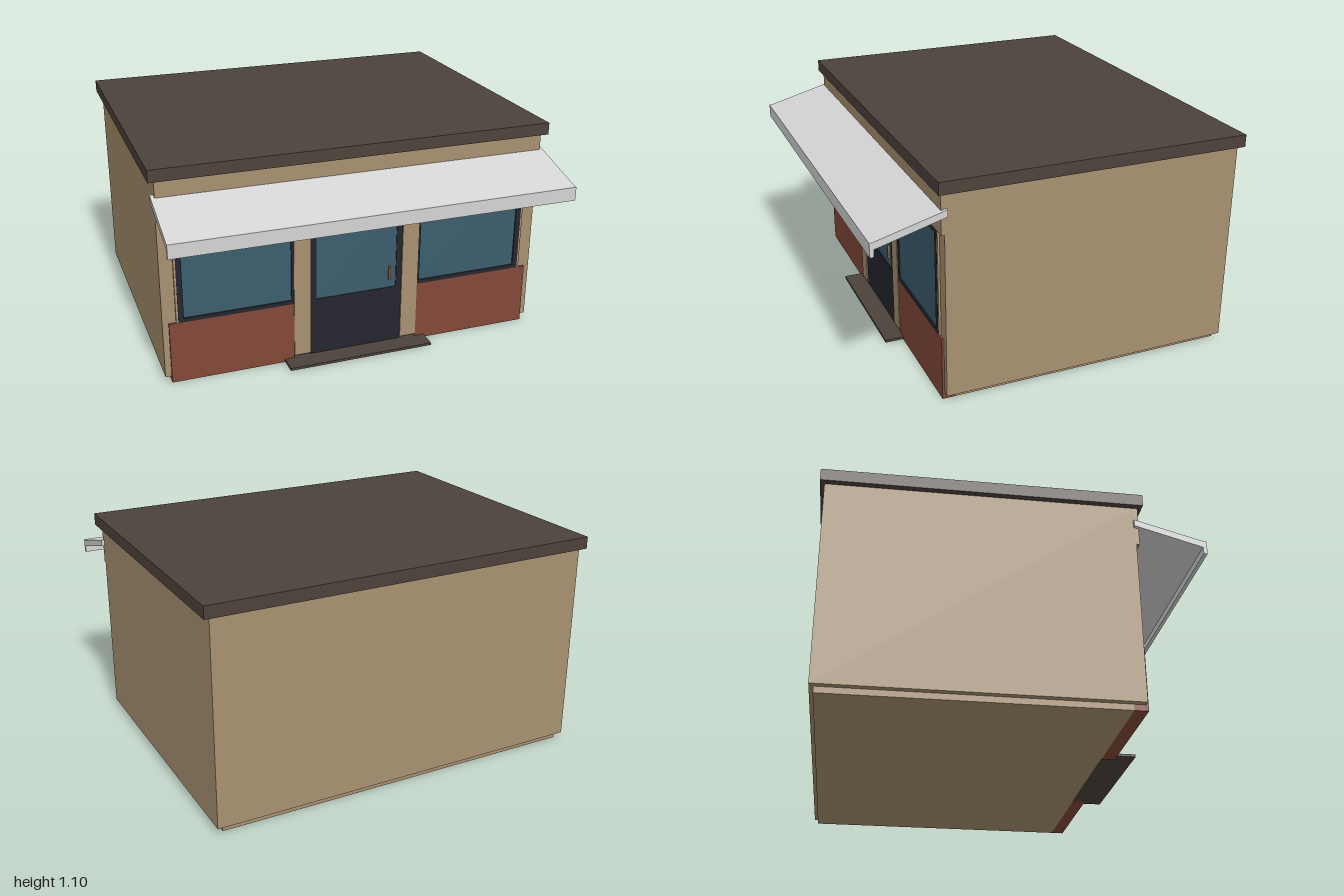
import * as THREE from 'three';

const mat = (name, color) => {
  const m = new THREE.MeshStandardMaterial({ color });
  m.name = name;
  return m;
};

export function createModel() {
  const plaster = mat('tan plaster', 0xa89070);
  const dark = mat('dark brown roofing', 0x4d423b);
  const brick = mat('red brick', 0x824838);
  const glass = mat('blue glass', 0x3b5d6d);
  const frame = mat('dark frame', 0x252530);
  const canvas = mat('pale awning', 0xd4d4d4);
  const bronze = mat('bronze', 0x94683f);

  const shop = new THREE.Group();
  shop.name = 'shop';

  // Box given by its lower and upper limits on each axis
  const box = (name, material, x0, x1, y0, y1, z0, z1) => {
    const mesh = new THREE.Mesh(new THREE.BoxGeometry(x1 - x0, y1 - y0, z1 - z0), material);
    mesh.position.set((x0 + x1) / 2, (y0 + y1) / 2, (z0 + z1) / 2);
    mesh.name = name;
    shop.add(mesh);
    return mesh;
  };

  // Rectangular frame with one opening, extruded along z
  const openFrame = (name, x0, x1, y0, y1, hole, z0, z1) => {
    const rect = (target, a, b, c, d) =>
      target.moveTo(a, c).lineTo(b, c).lineTo(b, d).lineTo(a, d).closePath();
    const shape = rect(new THREE.Shape(), x0, x1, y0, y1);
    shape.holes.push(rect(new THREE.Path(), ...hole));
    const geo = new THREE.ExtrudeGeometry(shape, { depth: z1 - z0, bevelEnabled: false });
    const mesh = new THREE.Mesh(geo, frame);
    mesh.position.z = z0;
    mesh.name = name;
    shop.add(mesh);
  };

  // Building shell
  box('plinth', plaster, -0.94, 0.94, 0, 0.03, -0.87, 0.52);
  box('walls', plaster, -0.97, 0.97, 0.03, 1.04, -0.89, 0.575);
  box('fascia', plaster, -0.97, 0.97, 0.84, 1.04, 0.575, 0.59);
  box('roof', dark, -1, 1, 1.04, 1.1, -0.91, 0.61);

  // Shop windows, brick bases and pilasters on both sides of the door
  for (const s of [-1, 1]) {
    const span = (a, b) => (s > 0 ? [a, b] : [-b, -a]);
    box('brickBase', brick, ...span(0.325, 0.94), 0, 0.315, 0.52, 0.586);
    box('pilaster', plaster, ...span(0.24, 0.325), 0.03, 0.84, 0.575, 0.59);
    box('windowTrim', plaster, ...span(0.895, 0.905), 0.315, 0.84, 0.575, 0.585);
    openFrame('windowFrame', ...span(0.325, 0.895), 0.315, 0.84,
      [...span(0.337, 0.868), 0.335, 0.815], 0.575, 0.586);
    box('windowGlass', glass, ...span(0.337, 0.868), 0.335, 0.815, 0.574, 0.579);
  }

  // Door with a glazed upper half and a pull handle
  openFrame('doorFrame', -0.24, 0.24, 0.02, 0.84, [-0.21, 0.21, 0.32, 0.81], 0.575, 0.584);
  box('doorGlass', glass, -0.21, 0.21, 0.32, 0.81, 0.574, 0.58);
  box('doorHandle', bronze, 0.17, 0.18, 0.365, 0.44, 0.579, 0.592);
  box('doorStep', dark, -0.375, 0.375, 0.003, 0.016, 0.5, 0.68);

  // Awning: sloping slab with a hanging valance, extruded across the front
  const profile = new THREE.Shape([
    [0.565, 0.965], [0.9, 0.873], [0.912, 0.873], [0.912, 0.805],
    [0.893, 0.805], [0.893, 0.84], [0.565, 0.932],
  ].map(([z, y]) => new THREE.Vector2(-z, y)));
  const awning = new THREE.Mesh(
    new THREE.ExtrudeGeometry(profile, { depth: 1.974, bevelEnabled: false }), canvas);
  awning.rotation.y = Math.PI / 2;
  awning.position.x = -0.987;
  awning.name = 'awning';
  shop.add(awning);

  return shop;
}
